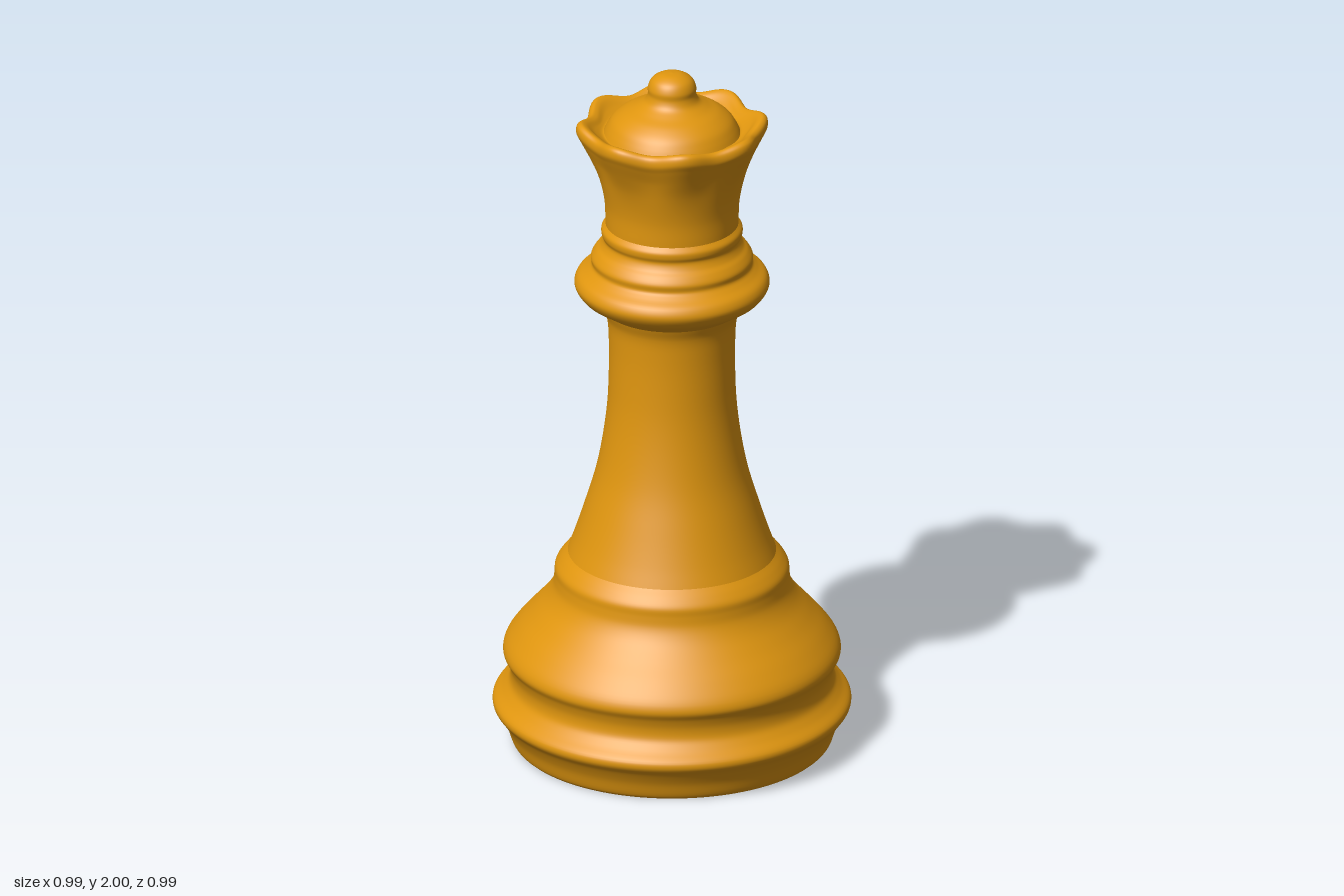
import * as THREE from 'three';
import { mergeVertices } from 'three/addons/utils/BufferGeometryUtils.js';

const SIDES = 128;
const LOBES = 8;

// Smooth turned surface through a few [radius, height] points
function turned(points, steps = 5) {
  const curve = new THREE.CatmullRomCurve3(
    points.map(([r, y]) => new THREE.Vector3(r, y, 0)), false, 'centripetal');
  const profile = curve.getPoints((points.length - 1) * steps)
    .map((p) => new THREE.Vector2(Math.max(p.x, 0), p.y));
  return new THREE.LatheGeometry(profile, SIDES);
}

// Scalloped rim: lobes push outward and up, fading out down the crown and into the bowl
function scallop(geometry) {
  const pos = geometry.attributes.position;
  for (let i = 0; i < pos.count; i++) {
    const x = pos.getX(i), y = pos.getY(i), z = pos.getZ(i);
    const r = Math.hypot(x, z);
    const angle = Math.atan2(-z, x) - THREE.MathUtils.degToRad(8);
    const wave = Math.cos(LOBES * angle);
    const fade = THREE.MathUtils.smoothstep(y, 1.62, 1.84)
      * THREE.MathUtils.smoothstep(r, 0.18, 0.23);
    const k = 1 + 0.011 * wave * fade / r;
    pos.setXYZ(i, x * k, y + 0.008 * wave * fade, z * k);
  }
  // Weld the seam so the normals run smoothly all the way round
  geometry.deleteAttribute('uv');
  geometry.deleteAttribute('normal');
  const welded = mergeVertices(geometry, 1e-5);
  welded.computeVertexNormals();
  return welded;
}

export function createModel() {
  const group = new THREE.Group();
  group.name = 'chessQueen';
  const material = new THREE.MeshStandardMaterial({ color: 0xe0960f });

  function add(name, geometry) {
    const mesh = new THREE.Mesh(geometry, material);
    mesh.name = name;
    group.add(mesh);
    return mesh;
  }

  // Flat underside
  add('underside', new THREE.CircleGeometry(0.435, SIDES).rotateX(Math.PI / 2));

  // Stepped base with two rounded rings and a shoulder
  add('base', turned([
    [0.435, 0], [0.443, 0.008], [0.458, 0.05], [0.477, 0.085], [0.495, 0.11], [0.494, 0.128],
    [0.468, 0.155], [0.45, 0.18], [0.447, 0.21], [0.455, 0.24], [0.467, 0.265],
    [0.462, 0.29], [0.43, 0.335], [0.385, 0.385], [0.348, 0.43], [0.33, 0.465],
    [0.325, 0.495], [0.323, 0.52], [0.308, 0.543], [0.288, 0.565],
  ]));

  // Tapering stem
  add('stem', turned([
    [0.288, 0.565], [0.268, 0.62], [0.239, 0.71], [0.21, 0.81], [0.191, 0.91],
    [0.179, 1.01], [0.175, 1.1], [0.175, 1.2], [0.18, 1.265], [0.193, 1.3],
  ]));

  // Collar with two smaller rings above it
  add('collar', turned([
    [0.193, 1.3], [0.224, 1.32], [0.253, 1.34], [0.27, 1.37], [0.262, 1.395],
    [0.237, 1.415], [0.223, 1.43], [0.224, 1.45], [0.212, 1.47], [0.198, 1.485],
    [0.19, 1.505], [0.195, 1.52], [0.195, 1.535], [0.184, 1.55],
  ]));

  // Flared crown with a scalloped lip and a shallow bowl
  add('crown', scallop(turned([
    [0.184, 1.55], [0.187, 1.62], [0.204, 1.7], [0.224, 1.755], [0.245, 1.8],
    [0.256, 1.825], [0.253, 1.845], [0.242, 1.852], [0.228, 1.847], [0.208, 1.83],
    [0.19, 1.822], [0.18, 1.83],
  ], 7)));

  // Domed cap rising to a round finial
  add('dome', turned([
    [0.19, 1.82], [0.18, 1.84], [0.165, 1.862], [0.135, 1.885], [0.1, 1.902],
    [0.076, 1.918], [0.067, 1.938], [0.067, 1.958], [0.056, 1.981], [0.03, 1.996], [0, 2],
  ]));

  return group;
}
